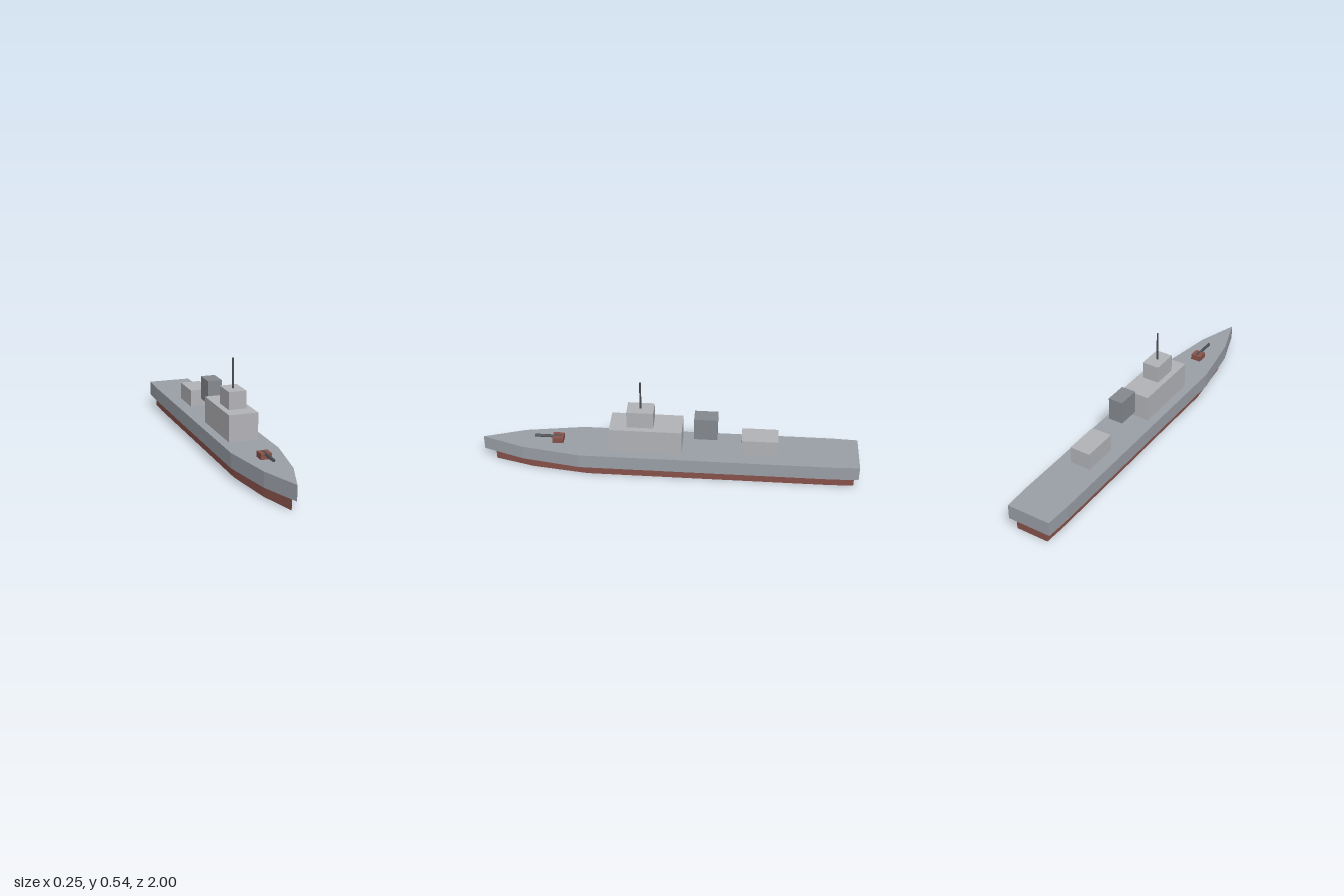
import * as THREE from 'three';

const paint = (color) => new THREE.MeshStandardMaterial({ color, flatShading: true });
const hullGrey = paint(0x9a9fa7);
const houseGrey = paint(0xb2b3b7);
const funnelGrey = paint(0x85898e);
const darkGrey = paint(0x4a4d51);
const red = paint(0x87524a);

// Half outline of the hull in plan, as [half width, z] from stern to bow
const OUTLINE = [[0.119, -1], [0.125, -0.86], [0.125, 0.47], [0.074, 0.78], [0, 1]];
const DECK = 0.143;

export function createModel() {
  const ship = new THREE.Group();
  ship.name = 'warship';

  const add = (name, geometry, material, x = 0, y = 0, z = 0) => {
    const mesh = new THREE.Mesh(geometry, material);
    mesh.name = name;
    mesh.position.set(x, y, z);
    ship.add(mesh);
  };

  // Straight-sided hull layer: the plan outline mirrored and extruded upward
  const hullLayer = (name, material, y0, y1, scaleX, scaleZ, shiftZ) => {
    const half = OUTLINE.map(([x, z]) => new THREE.Vector2(x * scaleX, -(z * scaleZ + shiftZ)));
    const mirrored = half.slice(0, -1).reverse().map((p) => new THREE.Vector2(-p.x, p.y));
    const geometry = new THREE.ExtrudeGeometry(new THREE.Shape([...half, ...mirrored]), {
      depth: y1 - y0, bevelEnabled: false,
    });
    geometry.rotateX(-Math.PI / 2);
    add(name, geometry, material, 0, y0);
  };

  // Box given by its width, bottom, top, back and front
  const block = (name, material, width, y0, y1, z0, z1) =>
    add(name, new THREE.BoxGeometry(width, y1 - y0, z1 - z0), material, 0, (y0 + y1) / 2, (z0 + z1) / 2);

  // Hull
  hullLayer('lowerHull', red, 0, 0.064, 0.75, 0.96, -0.02);
  hullLayer('upperHull', hullGrey, 0.064, DECK, 1, 1, 0);

  // Deckhouses and funnel
  block('superstructure', houseGrey, 0.156, DECK, 0.284, -0.07, 0.31);
  block('bridge', houseGrey, 0.094, 0.284, 0.378, 0.08, 0.22);
  block('funnel', funnelGrey, 0.08, 0.222, 0.348, -0.255, -0.132);
  block('aftDeckhouse', houseGrey, 0.112, DECK, 0.236, -0.573, -0.383);

  // Mast
  add('mast', new THREE.CylinderGeometry(0.005, 0.005, 0.159, 8), darkGrey, 0, 0.4575, 0.15);

  // Bow gun
  block('gunTurret', red, 0.056, DECK, 0.173, 0.564, 0.622);
  const barrel = new THREE.CylinderGeometry(0.008, 0.008, 0.14, 8).rotateX(Math.PI / 2);
  add('gunBarrel', barrel, darkGrey, 0, 0.168, 0.648);

  return ship;
}
